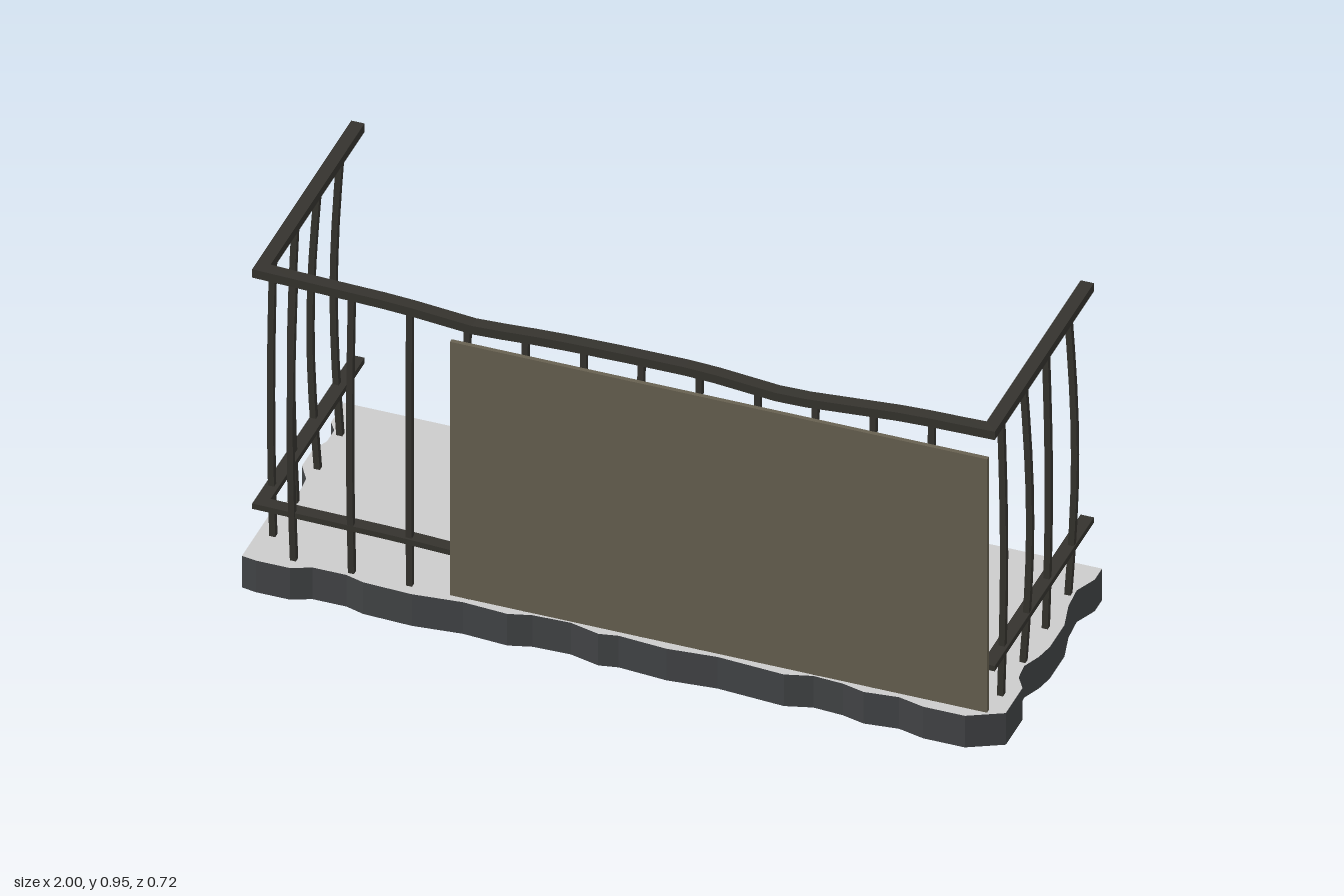
import * as THREE from 'three';

const paint = (color) => new THREE.MeshStandardMaterial({ color, side: THREE.DoubleSide, flatShading: true });
const iron = paint(0x35332e);
const edgeDark = paint(0x424446);
const concrete = paint(0xcccccc);
const screenPaint = paint(0x676050);

// Joins four-cornered rings into a closed bar with capped ends
function sweepRings(rings) {
  const pos = rings.flat(2), idx = [];
  const quad = (a, b, c, d) => idx.push(a, b, c, a, c, d);
  for (let i = 0; i < rings.length - 1; i++) {
    for (let k = 0; k < 4; k++) {
      const a = i * 4 + k, b = i * 4 + (k + 1) % 4;
      quad(a, b, b + 4, a + 4);
    }
  }
  const e = (rings.length - 1) * 4;
  quad(3, 2, 1, 0);
  quad(e, e + 1, e + 2, e + 3);
  const g = new THREE.BufferGeometry();
  g.setAttribute('position', new THREE.Float32BufferAttribute(pos, 3));
  g.setIndex(idx);
  g.computeVertexNormals();
  return g;
}

// Flat handrail running back-to-front, across and back again, mitred at the corners
function railGeometry(heightAt, endY, width, height) {
  const X = 0.962, Z = 0.31, w = width / 2, h = height / 2;
  const ring = (x, y, z, nx, nz) => [
    [x + nx * w, y - h, z + nz * w], [x - nx * w, y - h, z - nz * w],
    [x - nx * w, y + h, z - nz * w], [x + nx * w, y + h, z + nz * w],
  ];
  const rings = [ring(-X, endY, -0.357, -1, 0), ring(-X, endY, Z, -1, 1)];
  for (let i = 1; i < 24; i++) {
    const x = -X + (i / 24) * 2 * X;
    rings.push(ring(x, heightAt(x), Z, 0, 1));
  }
  rings.push(ring(X, endY, Z, 1, 1), ring(X, endY, -0.357, 1, 0));
  return sweepRings(rings);
}

// Upright square bar bowed outward along (dx, dz)
function balusterGeometry(x, z, top, dx, dz, bow) {
  const s = 0.008, rings = [], n = 8, y0 = 0.09;
  for (let i = 0; i <= n; i++) {
    const t = i / n, b = bow * Math.sin(Math.PI * t), y = y0 + (top - y0) * t;
    const cx = x + dx * b, cz = z + dz * b;
    rings.push([[cx - s, y, cz + s], [cx + s, y, cz + s], [cx + s, y, cz - s], [cx - s, y, cz - s]]);
  }
  return sweepRings(rings);
}

// Piecewise height of the sagging front rail
const sag = [[-0.97, 0.938], [-0.6, 0.929], [-0.39, 0.911], [-0.2, 0.923],
  [0, 0.927], [0.2, 0.928], [0.43, 0.908], [0.75, 0.934], [0.97, 0.938]];
function topHeight(x) {
  let i = 0;
  while (i < sag.length - 2 && x > sag[i + 1][0]) i++;
  const [a, b] = [sag[i], sag[i + 1]];
  return THREE.MathUtils.mapLinear(x, a[0], b[0], a[1], b[1]);
}
const lowHeight = (x) => 0.238 + (topHeight(x) - 0.938) * 0.45;

export function createModel() {
  const model = new THREE.Group();
  const add = (name, geometry, material, parent = model) => {
    const m = new THREE.Mesh(geometry, material);
    m.name = name;
    parent.add(m);
    return m;
  };

  // Chipped floor slab, open along the back: outline as [x, z]
  const outline = [
    [-1, -0.36], [-1, -0.27], [-0.98, -0.24], [-0.98, -0.19], [-1, -0.14], [-1, -0.07],
    [-0.97, -0.02], [-0.965, 0.05], [-0.99, 0.11], [-1, 0.16], [-1, 0.345], [-0.96, 0.352],
    [-0.87, 0.352], [-0.82, 0.33], [-0.73, 0.33], [-0.68, 0.345], [-0.55, 0.35], [-0.42, 0.337],
    [-0.3, 0.345], [-0.24, 0.328], [-0.14, 0.325], [-0.06, 0.345], [-0.01, 0.335],
    [0.12, 0.345], [0.25, 0.333], [0.43, 0.345], [0.5, 0.325], [0.58, 0.33], [0.64, 0.345],
    [0.73, 0.335], [0.8, 0.352], [0.91, 0.352], [1, 0.305], [1, 0.19], [0.975, 0.15], [0.97, 0.1],
    [0.99, 0.05], [1, 0], [1, -0.1], [0.98, -0.18], [0.975, -0.25], [1, -0.31], [1, -0.36],
  ];
  const H = 0.095;
  const slab = new THREE.Group();
  slab.name = 'floorSlab';
  model.add(slab);
  const shape = new THREE.Shape(outline.map(([x, z]) => new THREE.Vector2(x, -z)));
  const face = new THREE.ShapeGeometry(shape).rotateX(-Math.PI / 2);
  add('slabTop', face, concrete, slab).position.y = H;
  const under = face.clone();
  under.setIndex([...face.index.array].reverse());
  under.computeVertexNormals();
  add('slabUnderside', under, concrete, slab);

  const wall = new THREE.BufferGeometry();
  const wallIdx = [];
  for (let i = 0; i < outline.length - 1; i++) {
    const a = i * 2;
    wallIdx.push(a, a + 2, a + 3, a, a + 3, a + 1);
  }
  wall.setAttribute('position', new THREE.Float32BufferAttribute(
    outline.flatMap(([x, z]) => [x, 0, z, x, H, z]), 3));
  wall.setIndex(wallIdx);
  wall.computeVertexNormals();
  add('slabEdge', wall, edgeDark, slab);

  // Rails
  add('topRail', railGeometry(topHeight, 0.938, 0.035, 0.025), iron);
  add('lowerRail', railGeometry(lowHeight, 0.238, 0.035, 0.016), iron);

  // Front balusters
  const balusters = new THREE.Group();
  balusters.name = 'balusters';
  model.add(balusters);
  for (let i = 0; i < 12; i++) {
    const x = -0.875 + i * 0.153;
    const bow = 0.013 + 0.012 * Math.sin(i * 2.1 + 1);
    add('frontBaluster', balusterGeometry(x, 0.312, topHeight(x), 0, 1, bow), iron, balusters);
  }

  // Side balusters
  const sideBows = { '-1': [0.006, 0.012, 0.02, 0.018], 1: [0.008, 0.018, 0.008, 0.018] };
  for (const side of [-1, 1]) {
    [0.233, 0.079, -0.076, -0.231].forEach((z, i) => {
      add('sideBaluster', balusterGeometry(side * 0.96, z, 0.935, side, 0, sideBows[side][i]), iron, balusters);
    });
  }

  // Privacy screen fixed across the front
  const screen = add('privacyScreen', new THREE.BoxGeometry(1.417, 0.762, 0.012), screenPaint);
  screen.position.set(0.263, 0.506, 0.354);

  return model;
}
